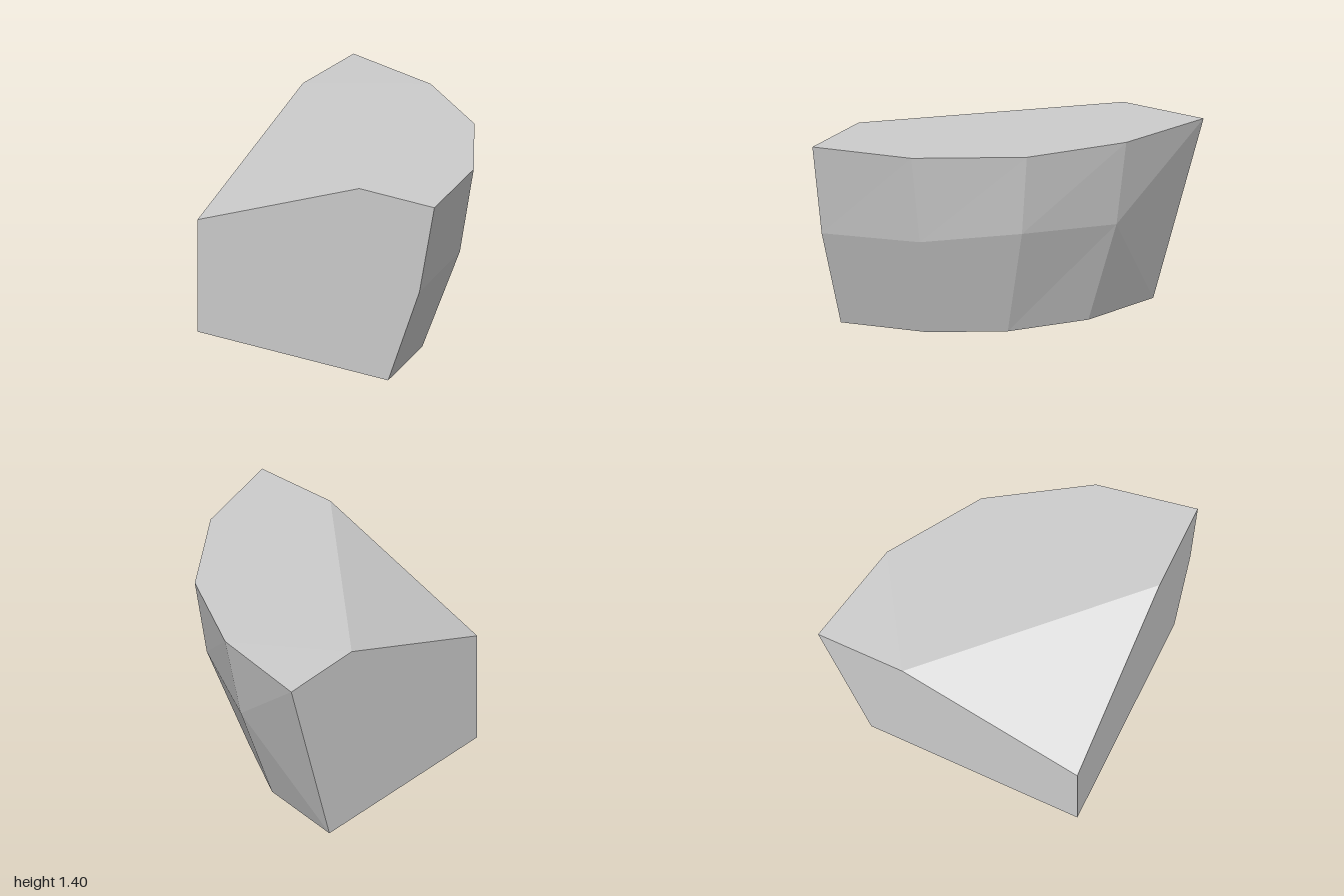
import * as THREE from 'three';

// Builds a flat-faced mesh from planar polygons (corners counter-clockwise from outside)
function facetMesh(name, polygons, material) {
  const points = [];
  for (const p of polygons)
    for (let i = 1; i < p.length - 1; i++) points.push(...p[0], ...p[i], ...p[i + 1]);
  const geometry = new THREE.BufferGeometry();
  geometry.setAttribute('position', new THREE.Float32BufferAttribute(points, 3));
  geometry.computeVertexNormals();
  const mesh = new THREE.Mesh(geometry, material);
  mesh.name = name;
  return mesh;
}

export function createModel() {
  const group = new THREE.Group();
  group.name = 'facetedBlock';
  const grey = new THREE.MeshStandardMaterial({ color: 0xcccccc, flatShading: true });
  grey.name = 'grey';

  // Rings of the curved wall, from the front edge round to the back edge
  const base = [[0.6, 0, 1], [0.475, 0, 0.37], [0.17, 0, -0.1], [-0.34, 0, -0.45], [-0.985, 0, -0.59]];
  const waist = [[0.86, 0.73, 1], [0.73, 0.75, 0.28], [0.36, 0.81, -0.33], [-0.28, 0.765, -0.715]];
  const rim = [[0.985, 1.4, 1], [0.845, 1.4, 0.28], [0.41, 1.4, -0.4], [-0.23, 1.4, -0.825], [-0.985, 1.39, -1]];

  // Square corner at the base and the three corners of the cut-off top
  const corner = [-0.985, 0, 1];
  const cutLow = [-0.985, 0.85, 1];
  const cutFront = [0.36, 1.4, 1];
  const cutSide = [-0.985, 1.4, -0.35];

  // Curved wall: two bands of quads, closing in triangles at the back edge
  const wall = [];
  for (let i = 0; i < 3; i++) {
    wall.push([base[i], base[i + 1], waist[i + 1], waist[i]]);
    wall.push([waist[i], waist[i + 1], rim[i + 1], rim[i]]);
  }
  wall.push([base[3], base[4], waist[3]], [waist[3], base[4], rim[4]], [waist[3], rim[4], rim[3]]);

  group.add(
    facetMesh('curvedWall', wall, grey),
    facetMesh('top', [[...rim.slice(0, 4), cutSide, cutFront], [rim[3], rim[4], cutSide]], grey),
    facetMesh('bottom', [[corner, ...base.slice().reverse()]], grey),
    facetMesh('frontFace', [[corner, base[0], waist[0], rim[0], cutFront, cutLow]], grey),
    facetMesh('sideFace', [[corner, cutLow, cutSide, rim[4], base[4]]], grey),
    facetMesh('cornerCut', [[cutLow, cutFront, cutSide]], grey),
  );
  return group;
}
